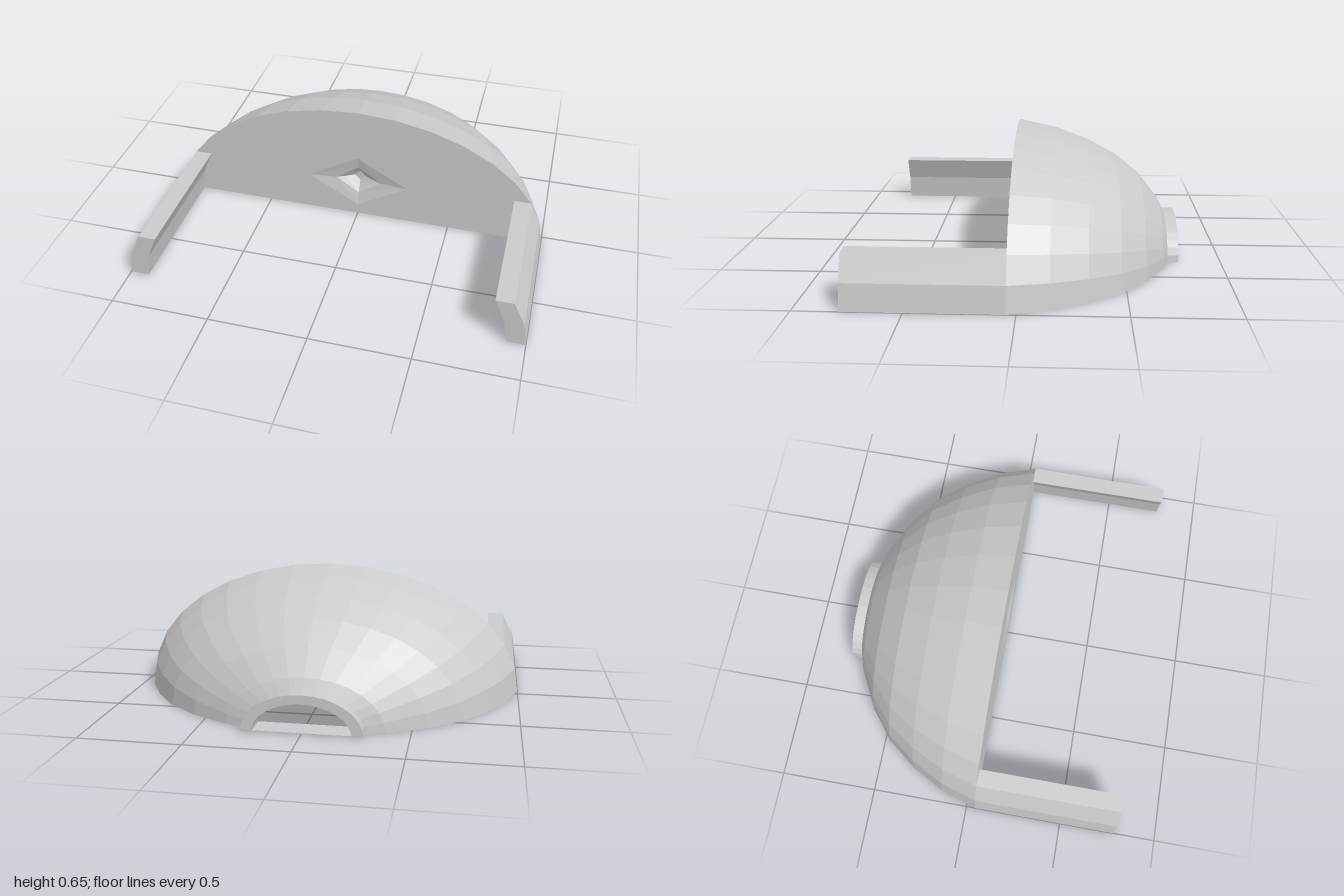
import * as THREE from 'three';

const RX = 1, RY = 0.655, FRONT = 0.045, INNER = 0.905, ARC = 16;
const CENTRE_Y = 0.215;

const material = new THREE.MeshStandardMaterial({
  color: 0xcccccc, flatShading: true, side: THREE.DoubleSide,
});

function part(name, geometry) {
  const mesh = new THREE.Mesh(geometry, material);
  mesh.name = name;
  return mesh;
}

// Joins elliptical sections [radiusX, radiusY, z] over the given sweep angle
function loft(sections, segments, sweep) {
  const positions = [];
  const point = ([rx, ry, z], i) => {
    const a = (i / segments) * sweep;
    return [rx * Math.cos(a), ry * Math.sin(a), z];
  };
  for (let s = 0; s < sections.length - 1; s++) {
    for (let i = 0; i < segments; i++) {
      const a = point(sections[s], i), b = point(sections[s], i + 1);
      const c = point(sections[s + 1], i), d = point(sections[s + 1], i + 1);
      positions.push(...a, ...c, ...b, ...b, ...c, ...d);
    }
  }
  const geometry = new THREE.BufferGeometry();
  geometry.setAttribute('position', new THREE.Float32BufferAttribute(positions, 3));
  geometry.computeVertexNormals();
  return geometry;
}

// Points on an elliptical arc, steps from..to of a half turn
function arc(rx, ry, from, to) {
  const points = [];
  for (let i = from; i <= to; i++) {
    const a = (i / ARC) * Math.PI;
    points.push(new THREE.Vector2(rx * Math.cos(a), ry * Math.sin(a)));
  }
  return points;
}

export function createModel() {
  const group = new THREE.Group();

  // Dome profile: fraction of full radius, z
  const profile = [
    [1, FRONT], [0.94, -0.145], [0.845, -0.32], [0.725, -0.475],
    [0.57, -0.6], [0.38, -0.7], [0.29, -0.73],
  ];
  const outer = profile.map(([r, z]) => [r * RX, r * RY, z]);
  const inner = profile.map(([r, z]) =>
    [r * RX * INNER, r * RY * 0.98, FRONT + (z - FRONT) * INNER]).reverse();

  // Outer skin, collar around the rear opening, then the inner skin
  const collar = [[0.29, 0.19, -0.785], [0.235, 0.145, -0.785], [0.235, 0.145, -0.66]];
  const shell = [...outer, ...collar, ...inner];
  group.add(part('domeShell', loft(shell, ARC, Math.PI)));

  // Flat underside of the shell wall on both sides
  for (const side of [1, -1]) {
    const rim = new THREE.ShapeGeometry(
      new THREE.Shape(shell.map(([x, , z]) => new THREE.Vector2(side * x, z))));
    rim.rotateX(Math.PI / 2);
    group.add(part(side > 0 ? 'leftRim' : 'rightRim', rim));
  }

  // Thin sill across the rear opening
  const sill = new THREE.BoxGeometry(0.5, 0.005, 0.125);
  sill.translate(0, 0.0025, -0.7175);
  group.add(part('rearSill', sill));

  // Front panel with a diamond cut-out
  const panelShape = new THREE.Shape(arc(RX, RY, 0, ARC));
  panelShape.holes.push(new THREE.Path([
    new THREE.Vector2(0.27, CENTRE_Y), new THREE.Vector2(0, CENTRE_Y - 0.155),
    new THREE.Vector2(-0.27, CENTRE_Y), new THREE.Vector2(0, CENTRE_Y + 0.155),
  ]));
  const panel = new THREE.ShapeGeometry(panelShape);
  panel.translate(0, 0, FRONT);
  group.add(part('frontPanel', panel));

  // Four-sided recess narrowing towards the back
  const recess = loft([
    [0.27, 0.155, 0], [0.12, 0.085, -0.015], [0.075, 0.06, -0.035],
    [0.03, 0.03, -0.06], [0, 0, -0.06],
  ], 4, Math.PI * 2);
  recess.translate(0, CENTRE_Y, FRONT);
  group.add(part('panelRecess', recess));

  // Two arms reaching forward, following the curve of the dome
  for (const side of [1, -1]) {
    const outline = [...arc(RX, RY, 0, 2), ...arc(RX * INNER, RY, 0, 2).reverse()];
    outline.forEach((p) => { p.x *= side; });
    const arm = new THREE.ExtrudeGeometry(new THREE.Shape(outline),
      { depth: 0.785 - FRONT, bevelEnabled: false });
    arm.translate(0, 0, FRONT);
    group.add(part(side > 0 ? 'leftArm' : 'rightArm', arm));
  }

  return group;
}
